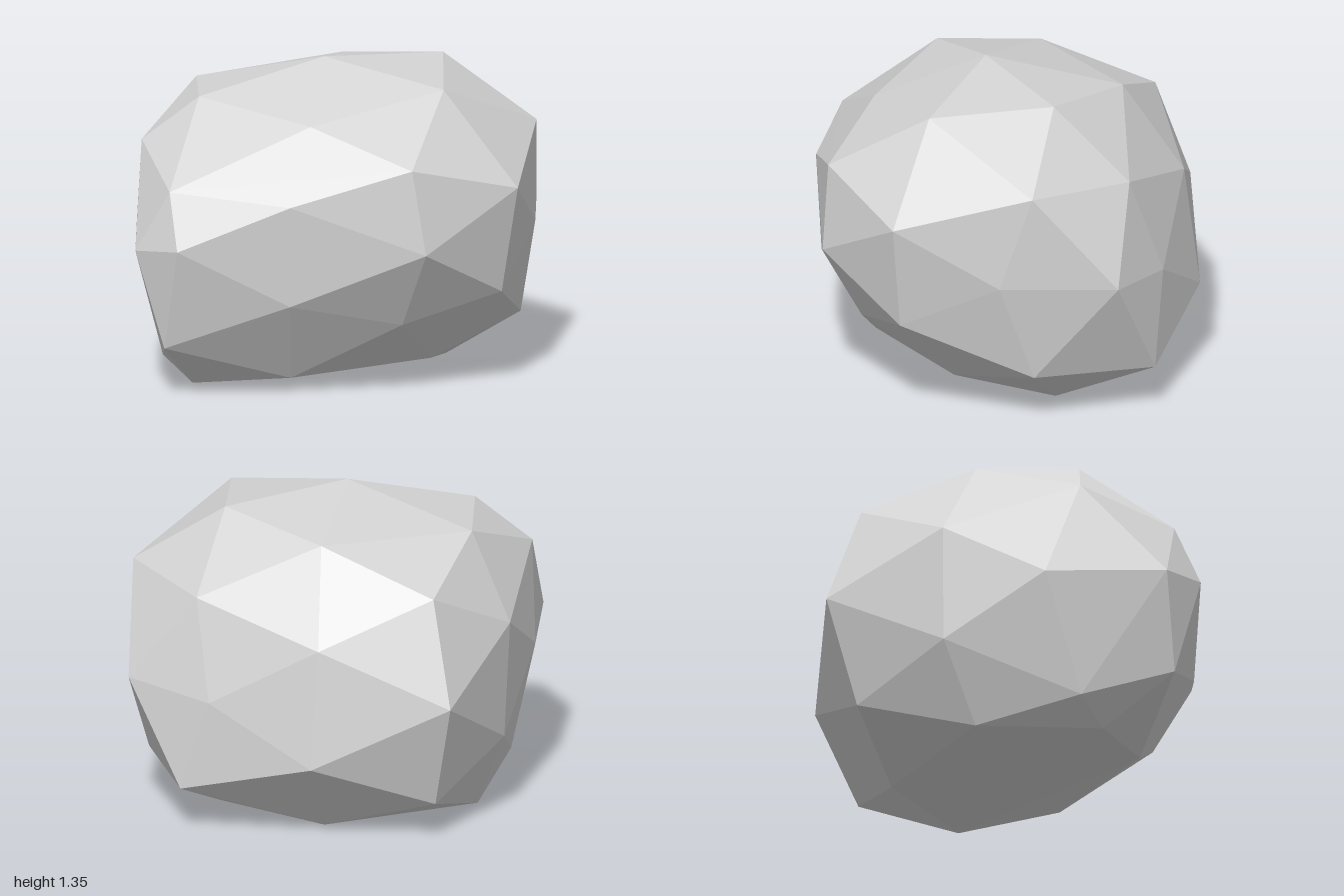
import * as THREE from 'three';
import { ConvexGeometry } from 'three/addons/geometries/ConvexGeometry.js';

// Corner points of the boulder, [x, y, z], grouped in rings from crown to base
const crown = [
  [-0.04, 1.345, 0.09], [0.53, 1.303, 0.085], [-0.595, 1.215, 0.01],
  [0.285, 1.257, 0.55], [-0.31, 1.145, 0.475], [0.3, 1.235, -0.38], [-0.4, 1.205, -0.38],
];
const shoulder = [
  [-0.03, 1.0, 0.86], [0.485, 0.87, 0.84], [0.83, 1.035, 0.36], [0.77, 1.0, -0.145],
  [0.42, 0.85, -0.61], [-0.055, 1.055, -0.74], [-0.48, 0.85, -0.59],
  [-0.805, 1.03, -0.11], [-0.89, 0.89, 0.3], [-0.5, 0.85, 0.65],
];
const girth = [
  [0.01, 0.64, 0.91], [0.76, 0.63, 0.48], [1.0, 0.625, 0.04], [0.785, 0.58, -0.3],
  [-0.055, 0.615, -0.91], [-0.755, 0.62, -0.25], [-1.0, 0.63, 0.2], [-0.915, 0.655, 0.415],
];
const foot = [
  [0, 0.305, 0.715], [0.44, 0.417, 0.78], [0.775, 0.205, 0.32], [0.875, 0.187, -0.21],
  [0.475, 0.345, -0.655], [-0.055, 0.155, -0.76], [-0.46, 0.345, -0.575],
  [-0.91, 0.215, 0.29], [-0.49, 0.417, 0.63],
];
const base = [
  [0.29, 0.075, 0.43], [-0.38, 0.06, 0.43], [0.545, 0, 0.085], [-0.73, 0.1, -0.06],
  [-0.665, 0, 0.085], [0.29, 0, -0.39], [-0.42, 0, -0.395],
];

export function createModel() {
  const stone = new THREE.MeshStandardMaterial({ color: 0xd3d3d3, flatShading: true });
  stone.name = 'pale stone grey';

  // Faceted boulder: the hull around all rings
  const points = [crown, shoulder, girth, foot, base].flat().map((p) => new THREE.Vector3(...p));
  const boulder = new THREE.Mesh(new ConvexGeometry(points), stone);
  boulder.name = 'boulder';

  const group = new THREE.Group();
  group.name = 'rock';
  group.add(boulder);
  return group;
}
